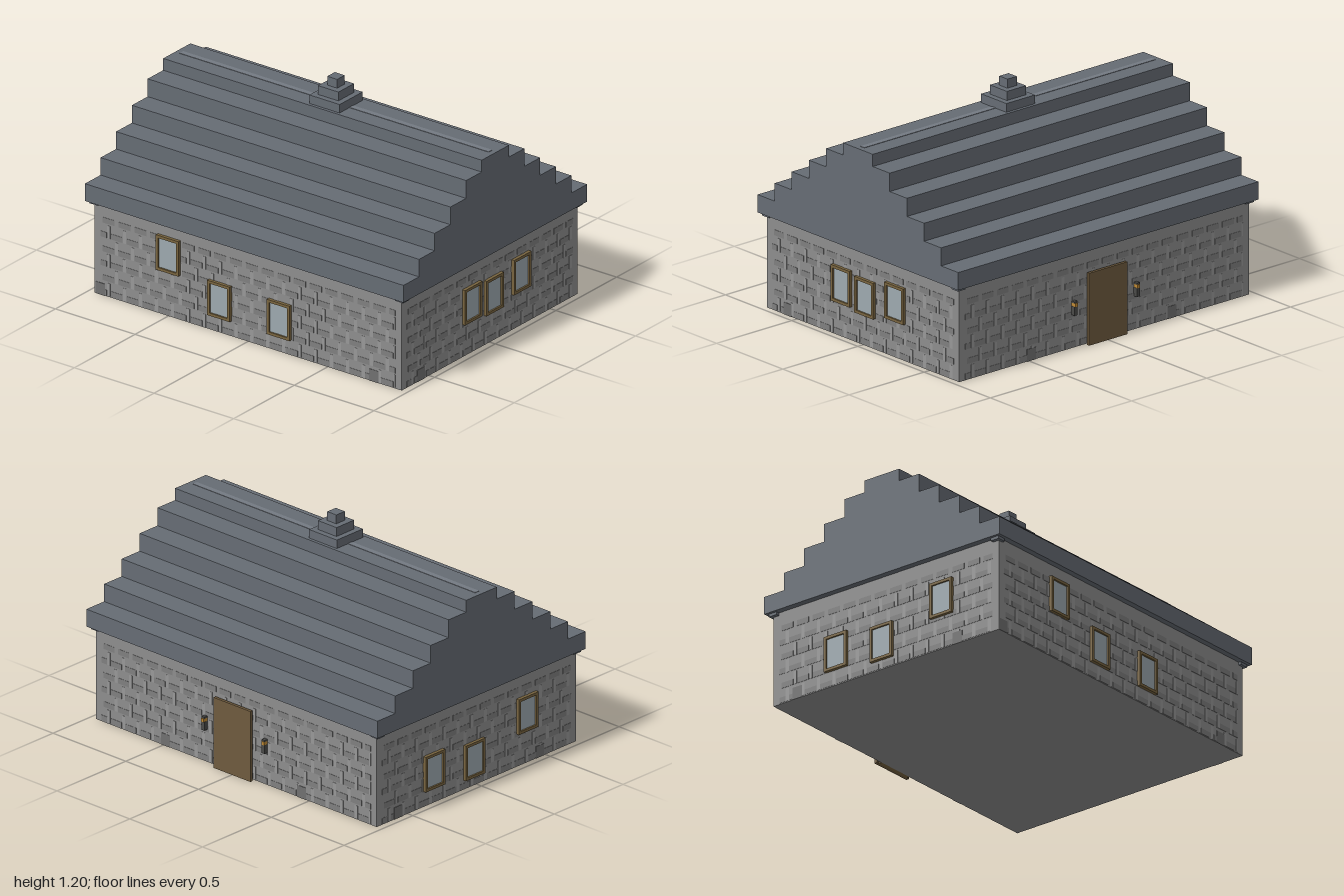
import * as THREE from 'three';
import { mergeGeometries } from 'three/addons/utils/BufferGeometryUtils.js';

const mat = (color) => new THREE.MeshStandardMaterial({ color });
const MAT = {
  wall: mat(0x8d8d8d), darkStone: mat(0x7f7f7f), lightStone: mat(0x989898), baseStone: mat(0x707070),
  roof: mat(0x666c74), ridge: mat(0x747a82), frame: mat(0x78643f), glass: mat(0x9da9af),
  door: mat(0x6f5b3e), iron: mat(0x4a4a48), lamp: mat(0xc08a35),
};
const HALF_X = 0.965, HALF_Z = 0.725, WALL_TOP = 0.505;

// Box given by its centre in x and z and by its bottom and top in y
function box(parent, name, material, w, y0, y1, d, x = 0, z = 0) {
  const mesh = new THREE.Mesh(new THREE.BoxGeometry(w, y1 - y0, d), material);
  mesh.name = name;
  mesh.position.set(x, (y0 + y1) / 2, z);
  parent.add(mesh);
  return mesh;
}

// Window: a square-cut frame around a recessed pane
function addWindow(side, x, y) {
  const g = new THREE.Group();
  g.name = 'window';
  const w = 0.142, h = 0.192, t = 0.015;
  const rect = (P, a, b) => new P([
    new THREE.Vector2(-a, -b), new THREE.Vector2(a, -b),
    new THREE.Vector2(a, b), new THREE.Vector2(-a, b),
  ]);
  const outline = rect(THREE.Shape, w / 2, h / 2);
  outline.holes.push(rect(THREE.Path, w / 2 - t, h / 2 - t));
  const frame = new THREE.Mesh(
    new THREE.ExtrudeGeometry(outline, { depth: 0.018, bevelEnabled: false }), MAT.frame);
  frame.name = 'windowFrame';
  g.add(frame);
  box(g, 'windowPane', MAT.glass, w - t, -h / 2 + t / 2, h / 2 - t / 2, 0.008, 0, 0.005);
  g.position.set(x, y, 0);
  side.add(g);
}

// Staggered masonry: thin dark slabs with pale upright joints between the courses
function addMasonry(side, half) {
  const dark = [], light = [];
  const end = half - 0.04;
  const slab = (list, x, y, w, h) => {
    const a = Math.max(x - w / 2, -end), b = Math.min(x + w / 2, end);
    if (b - a > 0.01) list.push(new THREE.BoxGeometry(b - a, h, 0.003).translate((a + b) / 2, y, 0));
  };
  for (let row = 0; row < 6; row++) {
    const y = 0.02 + row * 0.079;
    const shift = (row % 2) * 0.05;
    for (let x = -end; x < end; x += 0.1) {
      slab(dark, x + shift, y, 0.076, 0.03);
      if (row < 5) slab(light, x + shift + 0.05, y + 0.02, 0.02, 0.07);
    }
  }
  for (const [name, list, m] of [['darkStones', dark, MAT.darkStone], ['paleJoints', light, MAT.lightStone]]) {
    const mesh = new THREE.Mesh(mergeGeometries(list), m);
    mesh.name = name;
    side.add(mesh);
  }
}

// One wall face; local x runs to the viewer's right and local z points outwards
function addSide(parent, name, angle, half, distance, windows, baseStones) {
  const side = new THREE.Group();
  side.name = name;
  side.rotation.y = angle;
  side.position.set(Math.sin(angle) * distance, 0, Math.cos(angle) * distance);
  addMasonry(side, half);
  for (const [x, y] of windows) addWindow(side, x, y);
  for (const x of baseStones) box(side, 'baseStone', MAT.baseStone, 0.06, 0, 0.065, 0.005, x);
  parent.add(side);
  return side;
}

export function createModel() {
  const house = new THREE.Group();
  house.name = 'house';

  box(house, 'walls', MAT.wall, HALF_X * 2, 0, WALL_TOP, HALF_Z * 2);

  // Wall faces with windows
  addSide(house, 'frontWall', 0, HALF_X, HALF_Z,
    [[-0.495, 0.34], [-0.173, 0.18], [0.202, 0.18]], [-0.927, 0.79]);
  addSide(house, 'leftWall', Math.PI / 2, HALF_Z, HALF_X,
    [[-0.155, 0.275], [0.023, 0.26], [0.25, 0.292]], [-0.568]);
  addSide(house, 'rightWall', -Math.PI / 2, HALF_Z, HALF_X,
    [[-0.316, 0.18], [-0.023, 0.147], [0.362, 0.275]], [-0.57, 0.46]);
  const back = addSide(house, 'backWall', Math.PI, HALF_X, HALF_Z, [], [-0.485, 0.45]);

  // Door and its pair of wall lanterns
  box(back, 'doorJamb', MAT.frame, 0.22, 0, 0.37, 0.02, 0, 0.008);
  box(back, 'door', MAT.door, 0.254, 0, 0.385, 0.016, 0, 0.024);
  for (const s of [-1, 1]) {
    const lantern = new THREE.Group();
    lantern.name = 'lantern';
    box(lantern, 'lanternBase', MAT.iron, 0.02, 0.178, 0.225, 0.024, 0, 0.012);
    box(lantern, 'lanternLight', MAT.lamp, 0.018, 0.225, 0.243, 0.028, 0, 0.014);
    box(lantern, 'lanternCap', MAT.iron, 0.02, 0.243, 0.252, 0.024, 0, 0.012);
    lantern.position.x = s * 0.207;
    back.add(lantern);
  }

  // Corner brackets under the eaves
  for (const sx of [-1, 1]) for (const sz of [-1, 1])
    box(house, 'eaveBracket', MAT.roof, 0.05, 0.49, 0.506, 0.05, sx * 0.96, sz * 0.714);

  // Stepped roof as a single gable outline drawn along x
  const steps = [[0.757, 0.6], [0.628, 0.696], [0.5, 0.792], [0.37, 0.889], [0.24, 0.987], [0.112, 1.052]];
  const right = [];
  let y = WALL_TOP;
  for (const [z, top] of steps) {
    right.push(new THREE.Vector2(z, y), new THREE.Vector2(z, top));
    y = top;
  }
  const left = right.map((p) => new THREE.Vector2(-p.x, p.y)).reverse();
  const roofGeo = new THREE.ExtrudeGeometry(new THREE.Shape([...right, ...left]), { depth: 2, bevelEnabled: false });
  const roof = new THREE.Mesh(roofGeo.translate(0, 0, -1).rotateY(Math.PI / 2), MAT.roof);
  roof.name = 'steppedRoof';
  house.add(roof);
  box(house, 'ridgeStrip', MAT.ridge, 1.94, 1.045, 1.054, 0.03);

  // Stepped finial on the ridge
  [0.095, 0.064, 0.031].forEach((r, i) =>
    box(house, 'finialStep', MAT.roof, r * 2, 1.05 + i * 0.0485, 1.05 + (i + 1) * 0.0485, r * 2));

  return house;
}
